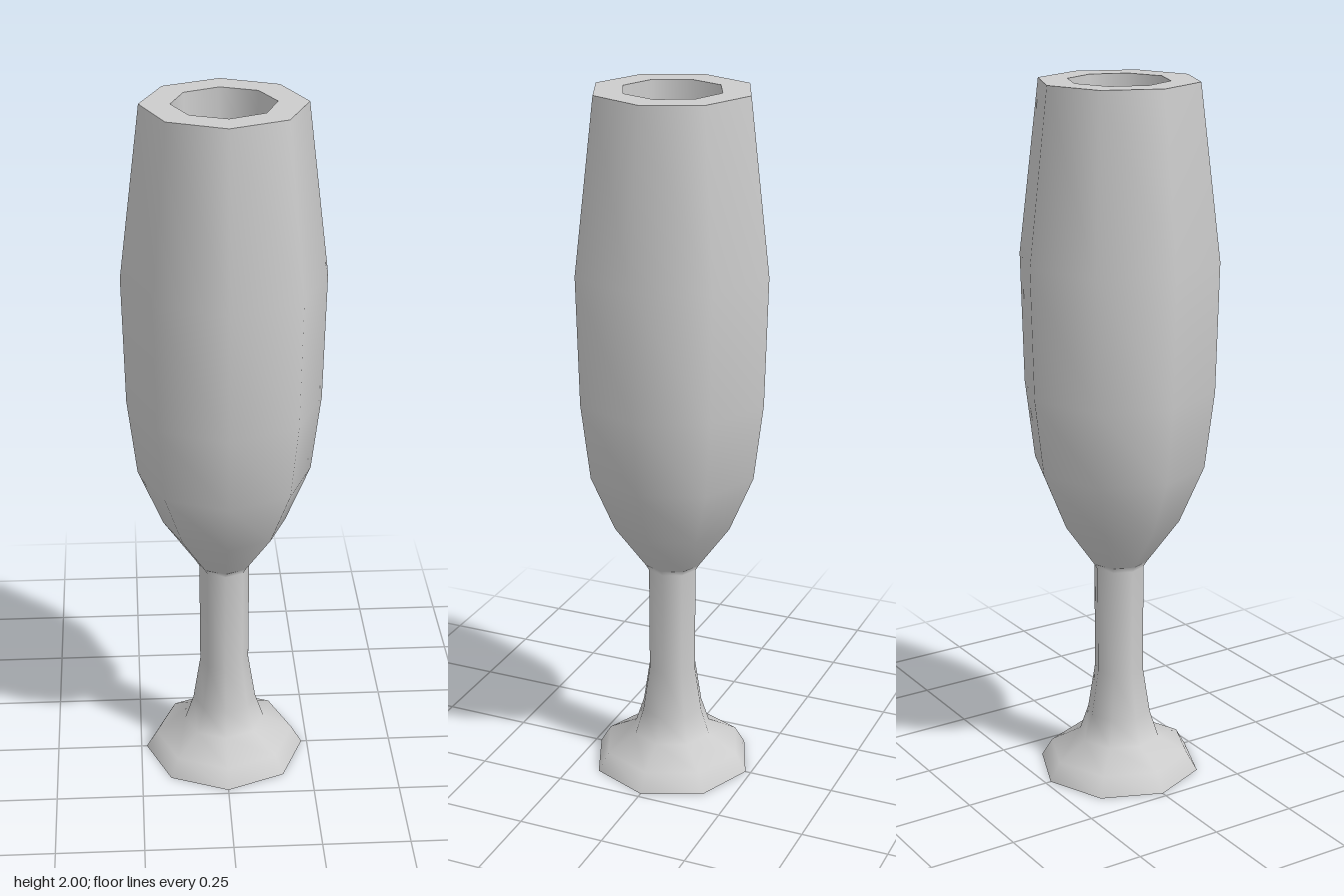
import * as THREE from 'three';

const SIDES = 8;
const TWIST = 0.036; // the hollow is turned slightly against the outer wall

export function createModel() {
  const group = new THREE.Group();
  group.name = 'fluteGlass';
  const grey = new THREE.MeshStandardMaterial({ color: 0xcccccc });
  grey.name = 'lightGrey';

  const add = (name, geometry) => {
    const mesh = new THREE.Mesh(geometry, grey);
    mesh.name = name;
    group.add(mesh);
    return mesh;
  };
  // Eight-sided turned part from [radius, height] pairs
  const turned = (name, profile, start = 0) => add(name, new THREE.LatheGeometry(
    profile.map(([r, y]) => new THREE.Vector2(r, y)), SIDES, start));
  // Corners of an octagon in the plane of a shape
  const octagon = (r, turn = 0) => Array.from({ length: SIDES }, (_, i) => {
    const a = turn + (i / SIDES) * Math.PI * 2;
    return new THREE.Vector2(Math.sin(a) * r, -Math.cos(a) * r);
  });

  // Underside of the foot
  turned('footUnderside', [[0, 0], [0.234, 0]]);

  // Foot flowing up into the stem
  turned('footAndStem', [
    [0.234, 0], [0.203, 0.053], [0.117, 0.1], [0.092, 0.175],
    [0.071, 0.31], [0.072, 0.625], [0.082, 0.642],
  ]);

  // Outer wall of the bowl
  turned('bowl', [
    [0.082, 0.642], [0.174, 0.77], [0.244, 0.935], [0.271, 1.155],
    [0.28, 1.52], [0.222, 2],
  ]);

  // Flat rim around the opening
  const rimShape = new THREE.Shape(octagon(0.222));
  rimShape.holes.push(new THREE.Path(octagon(0.14, TWIST)));
  const rim = add('rim', new THREE.ShapeGeometry(rimShape));
  rim.rotation.x = -Math.PI / 2;
  rim.position.y = 2;

  // Tapering hollow with a tiny flat floor
  turned('hollow', [
    [0.14, 2], [0.125, 1.55], [0.1, 1.15], [0.06, 0.88], [0.01, 0.72],
  ], TWIST);
  turned('hollowFloor', [[0.01, 0.72], [0, 0.72]], TWIST);

  return group;
}
